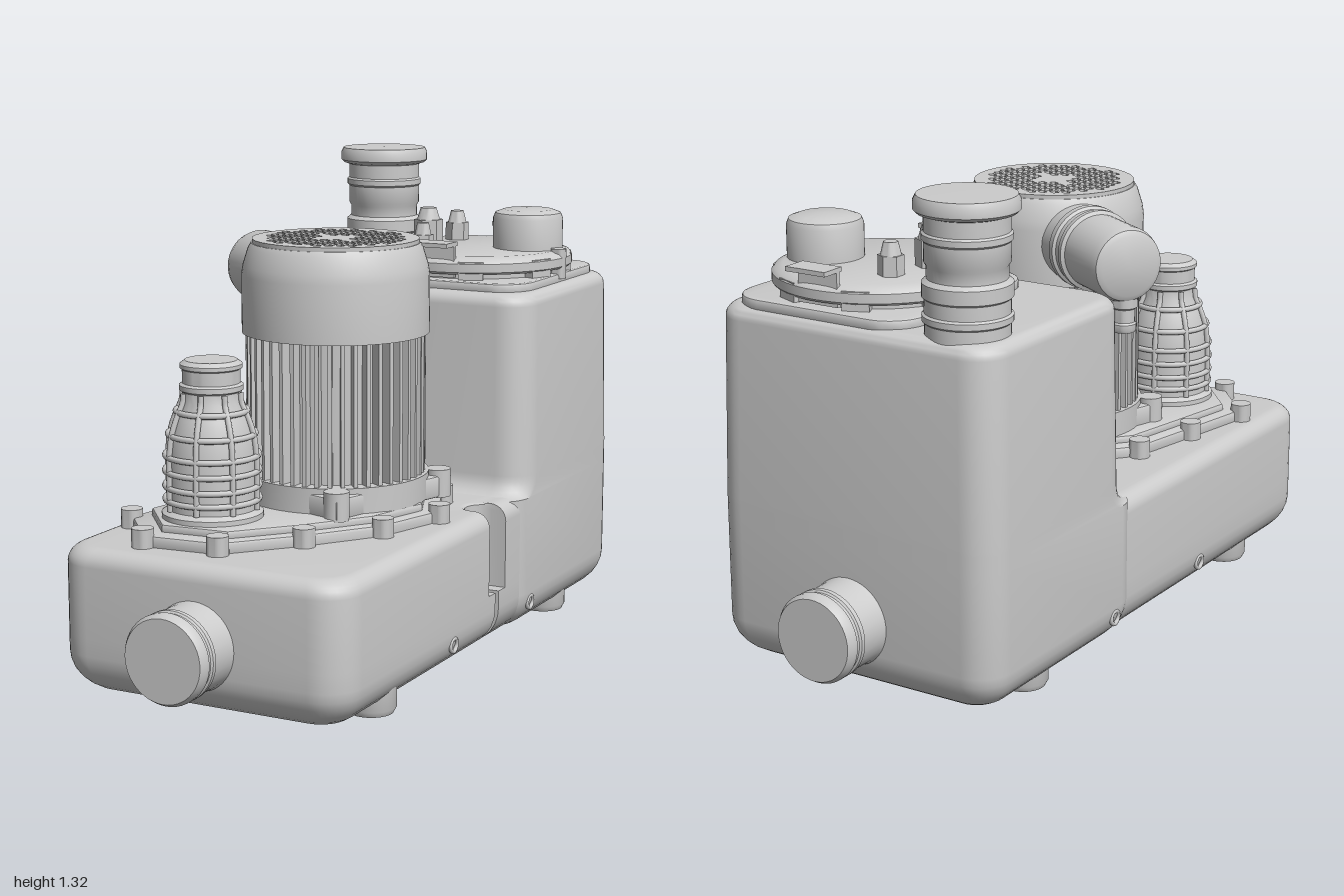
import * as THREE from 'three';
import { toCreasedNormals } from 'three/addons/utils/BufferGeometryUtils.js';

const mat = new THREE.MeshStandardMaterial({ color: 0xcccccc });
const V2 = (x, y) => new THREE.Vector2(x, y);
const range = (n, f) => Array.from({ length: n }, (_, i) => f(i));

export function createModel() {
  const model = new THREE.Group();

  function add(name, geo, x = 0, y = 0, z = 0, parent = model) {
    const mesh = new THREE.Mesh(geo, mat);
    mesh.name = name;
    mesh.position.set(x, y, z);
    parent.add(mesh);
    return mesh;
  }
  const lathe = (pts, seg = 48) =>
    toCreasedNormals(new THREE.LatheGeometry(pts.map(p => V2(p[0], p[1])), seg), 0.6);
  const cyl = (name, r, y0, y1, x, z, seg = 24, parent = model, rTop = r) =>
    add(name, toCreasedNormals(new THREE.CylinderGeometry(rTop, r, y1 - y0, seg), 0.8), x, (y0 + y1) / 2, z, parent);
  // Horizontal plate from a plan outline, with a small bevel
  function plate(name, shape, y0, y1, x = 0, z = 0, b = 0.008) {
    const geo = new THREE.ExtrudeGeometry(shape, {
      depth: y1 - y0 - 2 * b, bevelEnabled: b > 0, bevelSize: b, bevelThickness: b,
      bevelOffset: -b, bevelSegments: 2, curveSegments: 16
    });
    geo.rotateX(-Math.PI / 2);
    return add(name, toCreasedNormals(geo, 0.5), x, y0 + b, z);
  }

  // Rounded rectangle in plan, with an optional keyhole notch in the +x side
  function ring({ y, hx, z0, z1, r, inset = 0, notch }) {
    const X = hx - inset, a = -z1 + inset, b = -z0 - inset, q = Math.max(r - inset * 0.5, 0.02);
    const pts = [];
    const corner = (cx, cs, start) => {
      for (let i = 0; i <= 8; i++) {
        const t = start + i * Math.PI / 16;
        pts.push(V2(cx + q * Math.cos(t), cs + q * Math.sin(t)));
      }
    };
    corner(X - q, a + q, -Math.PI / 2);
    if (notch) {
      const { w, x, s } = notch, cx = Math.min(x, X - w - 0.015) + w;
      pts.push(V2(X, s - w));
      for (let i = 0; i <= 10; i++) {
        const t = -Math.PI / 2 - i * Math.PI / 10;
        pts.push(V2(cx + w * Math.cos(t), s + w * Math.sin(t)));
      }
      pts.push(V2(X, s + w));
    }
    corner(X - q, b - q, 0);
    corner(-X + q, b - q, Math.PI / 2);
    corner(-X + q, a + q, Math.PI);
    return { y, pts };
  }
  // Skin a stack of rings and close both ends
  function loft(rings) {
    const pos = [], idx = [], n = rings[0].pts.length;
    rings.forEach(k => k.pts.forEach(p => pos.push(p.x, k.y, -p.y)));
    for (let i = 0; i < rings.length - 1; i++) {
      for (let j = 0; j < n; j++) {
        const a = i * n + j, b = i * n + (j + 1) % n;
        idx.push(a, b, a + n, b, b + n, a + n);
      }
    }
    const top = (rings.length - 1) * n;
    THREE.ShapeUtils.triangulateShape(rings[0].pts.slice(), []).forEach(f => idx.push(f[2], f[1], f[0]));
    THREE.ShapeUtils.triangulateShape(rings[rings.length - 1].pts.slice(), [])
      .forEach(f => idx.push(top + f[0], top + f[1], top + f[2]));
    const geo = new THREE.BufferGeometry();
    geo.setAttribute('position', new THREE.Float32BufferAttribute(pos, 3));
    geo.setIndex(idx);
    return toCreasedNormals(geo, 0.6);
  }
  // Heights and insets of the rounded bottom and top edges
  const edge = (y, r, top) => range(8, i => {
    const t = i / 7 * Math.PI / 2;
    return top ? { y: y - r + r * Math.sin(t), inset: r * (1 - Math.cos(t)) }
      : { y: y + r - r * Math.cos(t), inset: r * (1 - Math.sin(t)) };
  });

  // Low front tank with cable notch
  const slot = { w: 0.011, x: 0.36, s: 0.035 }, recess = { w: 0.052, x: 0.325, s: 0.035 };
  const low = { hx: 0.42, z0: -0.6, z1: 0.855, r: 0.1 };
  add('lowTank', loft([
    ...edge(0.022, 0.11, false).map(e => ring({ ...low, ...e, notch: slot })),
    ring({ ...low, y: 0.18, notch: slot }), ring({ ...low, y: 0.18, notch: recess }),
    ...edge(0.412, 0.045, true).map(e => ring({ ...low, ...e, notch: recess }))
  ]));

  // Tall rear tank, flared where it meets the low one
  const tall = { hx: 0.428, z0: -0.852, z1: -0.13, r: 0.09 };
  add('tallTank', loft([
    ...edge(0.02, 0.11, false).map(e => ring({ ...tall, ...e })),
    ...range(7, i => {
      const t = i / 6 * Math.PI / 2;
      return ring({ ...tall, y: 0.465 - 0.06 * Math.cos(t), z1: -0.13 - 0.06 * Math.sin(t) });
    }),
    ...edge(0.972, 0.035, true).map(e => ring({ ...tall, hx: 0.42, z0: -0.842, z1: -0.195, ...e }))
  ]));

  // End connections, feet and side sockets
  const stub = lathe([[0.12, 0], [0.114, 0.03], [0.112, 0.1], [0.117, 0.105], [0.117, 0.118],
    [0.112, 0.122], [0.112, 0.132], [0.117, 0.136], [0.117, 0.15], [0.108, 0.165], [0, 0.165]]);
  const foot = lathe([[0.045, 0.03], [0.045, 0], [0.058, 0], [0.066, 0.015], [0.066, 0.1]], 32);
  const footCap = new THREE.CircleGeometry(0.046, 32).rotateX(Math.PI / 2);
  for (const s of [1, -1]) {
    add(s > 0 ? 'frontPipe' : 'rearPipe', stub, 0, 0.205, s * 0.835).rotation.x = s * Math.PI / 2;
    for (const x of [-0.325, 0.335]) {
      add('foot', foot, x, 0, s * 0.545);
      add('footRecess', footCap, x, 0.03, s * 0.545);
    }
    for (const z of [0.23, -0.25])
      add('sideSocket', new THREE.TorusGeometry(0.018, 0.006, 8, 20), s * (z > 0 ? 0.416 : 0.424), 0.1, z).rotation.y = Math.PI / 2;
  }

  // Bolted pump cover
  const bolts = [[0.05, -0.12], [0.25, -0.04], [0.34, 0.165], [0.28, 0.375], [0.15, 0.56], [0, 0.735],
    [-0.21, 0.755], [-0.35, 0.59], [-0.31, 0.36], [-0.27, 0.14], [-0.13, -0.03]];
  const outline = k => new THREE.Shape(bolts.map(([x, z]) => V2(x * k, -((z - 0.33) * k + 0.33))));
  plate('pumpCover', outline(1), 0.4, 0.442);
  plate('pumpCoverStep', outline(0.88), 0.43, 0.462);
  bolts.forEach(([x, z]) => cyl('coverBolt', 0.029, 0.4, 0.462, x, z, 20));

  // Motor foot
  const mx = 0.04, mz = 0.185;
  const square = new THREE.Shape(range(4, i => {
    const t = i * Math.PI / 2 + 0.5;
    return V2(0.31 * Math.cos(t), 0.31 * Math.sin(t));
  }));
  plate('motorFlange', square, 0.455, 0.515, mx, mz);
  cyl('motorBase', 0.25, 0.46, 0.53, mx, mz, 48);
  for (let i = 0; i < 4; i++) {
    const t = i * Math.PI / 2 + 0.5;
    cyl('motorFoot', 0.034, 0.455, 0.53, mx + 0.275 * Math.cos(t), mz - 0.275 * Math.sin(t), 20);
  }

  // Finned motor body
  cyl('motorBody', 0.208, 0.5, 0.92, mx, mz, 48);
  const fin = new THREE.BoxGeometry(0.04, 0.39, 0.011);
  for (let i = 0; i < 44; i++) {
    const t = i / 44 * Math.PI * 2;
    add('coolingFin', fin, mx + 0.22 * Math.cos(t), 0.72, mz - 0.22 * Math.sin(t)).rotation.y = t;
  }

  // Fan cowl with perforated top
  add('fanCowl', lathe([[0.2, 0.905], [0.25, 0.905], [0.25, 1.06], [0.246, 1.085], [0.232, 1.13],
    [0.224, 1.143], [0.21, 1.143], [0, 1.143]], 64), mx, 0, mz);
  const grille = new THREE.Shape().absarc(0, 0, 0.222, 0, Math.PI * 2);
  for (let r = -7; r <= 7; r++) {
    for (let c = -6; c <= 6; c++) {
      const u = (c + (r & 1 ? 0.5 : 0)) * 0.035, v = r * 0.026;
      if (Math.hypot(u, v) > 0.186 || Math.abs(u) + Math.abs(v) < 0.075) continue;
      grille.holes.push(new THREE.Path([V2(u - 0.012, v - 0.009), V2(u - 0.012, v + 0.009),
        V2(u + 0.012, v + 0.009), V2(u + 0.012, v - 0.009)]));
    }
  }
  plate('fanGrille', grille, 1.142, 1.154, mx, mz, 0).rotation.y = -0.55;

  // Ribbed outlet bell in front of the motor
  const bell = [[0.132, 0.45], [0.132, 0.475], [0.117, 0.485], [0.117, 0.62], [0.11, 0.68], [0.095, 0.725],
    [0.077, 0.765], [0.075, 0.79], [0.083, 0.795], [0.083, 0.808], [0.075, 0.813], [0.075, 0.848],
    [0.081, 0.852], [0.081, 0.862], [0.068, 0.872], [0, 0.872]];
  const bx = -0.122, bz = 0.557;
  add('outletBell', lathe(bell), bx, 0, bz);
  for (const [r, y] of [[0.122, 0.51], [0.122, 0.545], [0.122, 0.585], [0.121, 0.625], [0.113, 0.68], [0.092, 0.74]])
    add('bellRing', new THREE.TorusGeometry(r, 0.008, 8, 48).rotateX(Math.PI / 2), bx, y, bz);
  const ribPath = new THREE.CatmullRomCurve3(bell.slice(2, 8).map(([r, y]) => new THREE.Vector3(r + 0.004, y, 0)));
  const rib = new THREE.TubeGeometry(ribPath, 20, 0.008, 8);
  for (let i = 0; i < 8; i++) add('bellRib', rib, bx, 0, bz).rotation.y = i * Math.PI / 4 + 0.2;

  // Side pipe running back from the cowl, with drain spout
  const side = add('sidePipe', lathe([[0.108, 0], [0.108, 0.1], [0.113, 0.105], [0.113, 0.125], [0.105, 0.13],
    [0.105, 0.15], [0.11, 0.155], [0.11, 0.17], [0.1, 0.175], [0.1, 0.33], [0.094, 0.35], [0.08, 0.358], [0, 0.358]]),
  -0.08, 1.022, 0.075);
  side.quaternion.setFromUnitVectors(new THREE.Vector3(0, 1, 0), new THREE.Vector3(-0.84, 0, -0.54).normalize());
  add('drainSpout', lathe([[0, 0.838], [0.03, 0.838], [0.033, 0.845], [0.033, 0.86], [0.029, 0.865], [0.029, 0.9],
    [0.036, 0.905], [0.036, 0.96]], 24), -0.348, 0, -0.09);

  // Capped vent pipe
  add('ventPipe', lathe([[0.106, 0.96], [0.106, 1.0], [0.112, 1.005], [0.112, 1.02], [0.106, 1.025], [0.106, 1.06],
    [0.112, 1.065], [0.112, 1.1], [0.1, 1.11], [0.1, 1.14], [0.106, 1.15], [0.106, 1.2], [0.111, 1.205],
    [0.111, 1.22], [0.106, 1.225], [0.106, 1.265], [0.122, 1.27], [0.13, 1.278], [0.13, 1.3], [0.123, 1.314],
    [0, 1.316]]), -0.282, 0, -0.722);

  // Inspection lid
  const lx = 0.115, lz = -0.527;
  const base = new THREE.Shape(ring({ y: 0, hx: 0.272, z0: -0.295, z1: 0.295, r: 0.1 }).pts);
  plate('lidSeat', base, 0.96, 0.995, lx, lz);
  cyl('lidNeck', 0.25, 0.98, 1.03, lx, lz, 64);
  add('lid', lathe([[0.25, 1.01], [0.275, 1.01], [0.28, 1.016], [0.28, 1.04], [0.272, 1.05], [0.25, 1.058], [0, 1.06]], 64), lx, 0, lz);
  for (let i = 0; i < 8; i++) {
    const t = (i + 0.5) * Math.PI / 4;
    add('lidLug', new THREE.BoxGeometry(0.03, 0.06, 0.07), lx + 0.262 * Math.cos(t), 1.015, lz - 0.262 * Math.sin(t)).rotation.y = t;
  }
  for (const s of [1, -1]) {
    add('lidClipUpright', new THREE.BoxGeometry(0.12, 0.1, 0.012), lx, 1.05, lz + s * 0.262);
    add('lidClipTab', new THREE.BoxGeometry(0.12, 0.012, 0.07), lx, 1.094, lz + s * 0.282);
    cyl('lidScrew', 0.022, 0.98, 1.065, lx + s * 0.262, lz, 16);
  }

  // Sensor dome and hexagonal fittings on the lid
  add('sensorDome', lathe([[0.1, 1.05], [0.1, 1.145], [0.094, 1.16], [0.07, 1.169], [0, 1.172]]), 0.265, 0, -0.563);
  for (const [x, z, r, y] of [[0.005, -0.637, 0.034, 1.13], [-0.025, -0.505, 0.042, 1.15], [0.015, -0.388, 0.03, 1.12]]) {
    cyl('fittingNut', r, 1.05, y - 0.02, x, z, 6);
    cyl('fittingCap', r * 0.8, y - 0.02, y + 0.014, x, z, 20, model, r * 0.55);
  }
  return model;
}
